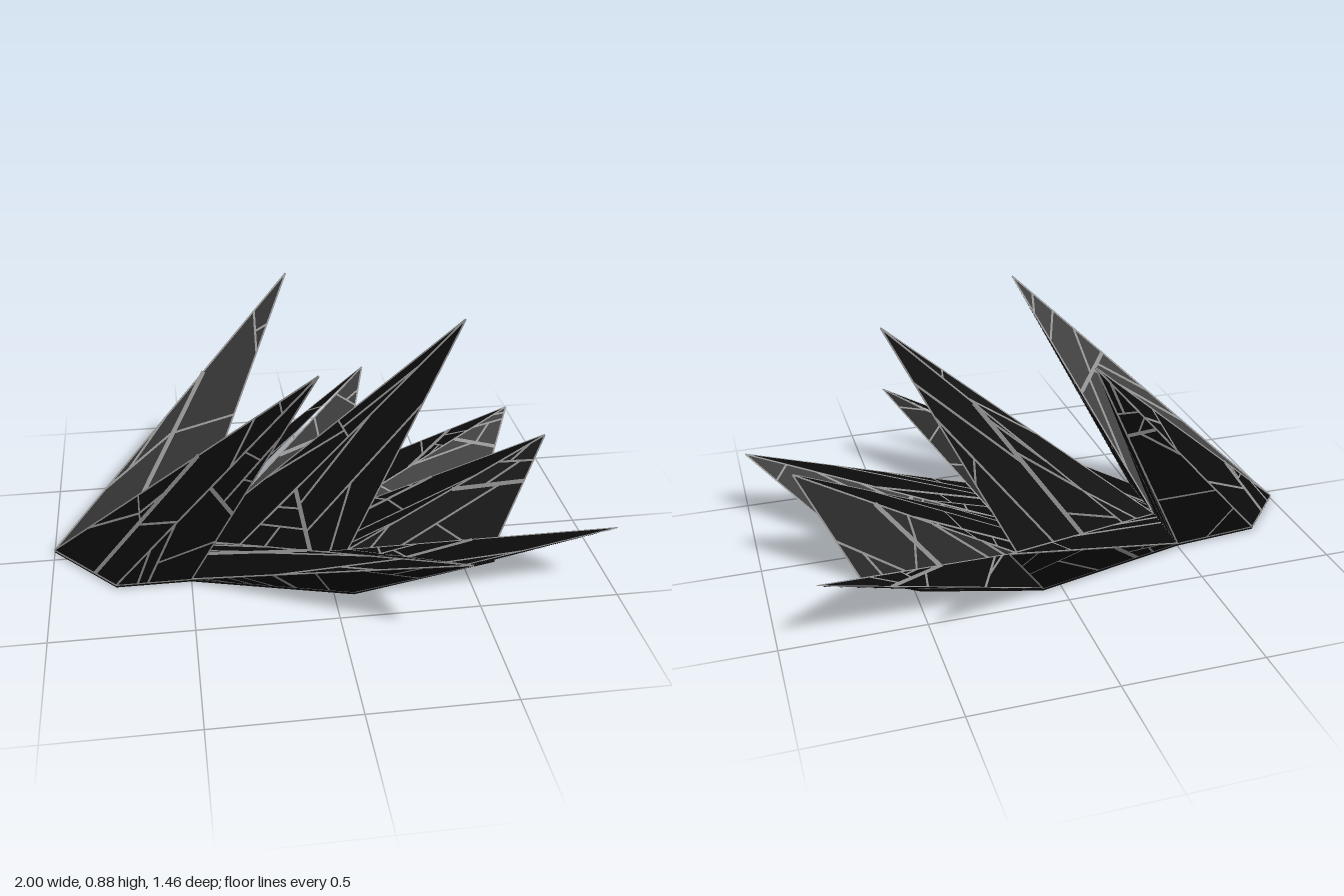
import * as THREE from 'three';

const PLATE = 0.01; // thickness of the ground plate
const black = new THREE.MeshStandardMaterial({ color: 0x0b0b0b, flatShading: true });
const grey = new THREE.MeshStandardMaterial({ color: 0x8c8c8c, flatShading: true });

// Shared ground points [x, z]
const P = {
  nose: [-1, -0.05], noseL: [-0.77, 0.21], noseR: [-0.82, -0.25],
  mid: [-0.5, -0.05], midL: [-0.5, 0.21], midR: [-0.5, -0.28],
  innerL: [-0.37, 0.1], innerR: [-0.38, -0.17],
  rearL: [0.09, 0.1], rearR: [0.09, -0.17],
  sideL: [0.07, 0.37], sideR: [0.07, -0.42],
  tailL: [0.67, 0.1], tailR: [0.67, -0.17],
  flankL: [0.62, 0.24], flankR: [0.48, -0.3],
};

// Each spike: name, tip, ground outline
const SPIKES = [
  ['tallSpikeLeft', [-0.06, 0.88, 0.39], ['nose', 'noseL', 'midL', 'mid']],
  ['tallSpikeRight', [-0.06, 0.88, -0.54], ['nose', 'mid', 'midR', 'noseR']],
  ['tallSpikeCentre', [0.52, 0.88, 0], ['mid', 'innerL', 'rearL', 'rearR', 'innerR']],
  ['sideSpikeLeft', [0.4, 0.33, 0.72], ['mid', 'midL', 'sideL', 'rearL', 'innerL']],
  ['sideSpikeRight', [0.28, 0.37, -0.73], ['mid', 'innerR', 'rearR', 'sideR', 'midR']],
  ['lowSpikeCentre', [0.86, 0.38, -0.02], ['rearL', 'tailL', 'tailR', 'rearR']],
  ['lowSpikeLeft', [0.99, 0.25, 0.45], ['rearL', 'sideL', 'flankL', 'tailL']],
  ['lowSpikeRight', [0.86, 0.24, -0.53], ['rearR', 'tailR', 'flankR', 'sideR']],
];
const OUTLINE = ['nose', 'noseL', 'midL', 'sideL', 'flankL', 'tailL', 'tailR', 'flankR', 'sideR', 'midR', 'noseR'];

let seed = 7;
const rnd = () => (seed = (seed * 16807) % 2147483647) / 2147483647;

const ground = (key, y) => new THREE.Vector3(P[key][0], y, P[key][1]);

function meshFrom(points, material, name) {
  const geometry = new THREE.BufferGeometry().setFromPoints(points);
  geometry.computeVertexNormals();
  const mesh = new THREE.Mesh(geometry, material);
  mesh.name = name;
  return mesh;
}

// Flat strip along p-q, floating just above a face with normal n
function ribbon(out, p, q, n, half) {
  const w = n.clone().cross(q.clone().sub(p)).normalize().multiplyScalar(half);
  const lift = n.clone().multiplyScalar(0.0015);
  const a = p.clone().add(lift).sub(w), b = q.clone().add(lift).sub(w);
  const c = q.clone().add(lift).add(w), d = p.clone().add(lift).add(w);
  out.push(a, b, c, a, c, d);
}

// Split a panel again and again with straight seams
function crack(out, poly, n, depth) {
  if (depth === 0) return;
  const count = poly.length;
  const lengths = poly.map((p, k) => p.distanceTo(poly[(k + 1) % count]));
  const i = lengths.indexOf(Math.max(...lengths));
  const j = (i + 1 + Math.floor(rnd() * (count - 1))) % count;
  const [lo, hi] = i < j ? [i, j] : [j, i];
  const on = (k) => poly[k].clone().lerp(poly[(k + 1) % count], 0.3 + 0.4 * rnd());
  const a = on(lo), b = on(hi);
  ribbon(out, a, b, n, depth === 3 ? 0.008 : 0.004);
  crack(out, [a, ...poly.slice(lo + 1, hi + 1), b], n, depth - 1);
  crack(out, [b, ...poly.slice(hi + 1), ...poly.slice(0, lo + 1), a], n, depth - 1);
}

// Leaning faceted pyramid with seams on its edges and faces
function makeSpike(name, tip, keys) {
  const top = new THREE.Vector3(...tip);
  const base = keys.map((k) => ground(k, PLATE));
  const centre = base.reduce((s, p) => s.add(p), new THREE.Vector3()).divideScalar(base.length).lerp(top, 0.2);
  const faces = [], seams = [];
  base.forEach((p, k) => {
    let tri = [p, base[(k + 1) % base.length], top];
    const n = new THREE.Vector3();
    const facing = () => new THREE.Triangle(...tri).getNormal(n).dot(centre.clone().sub(p));
    if (facing() > 0) {
      tri = [tri[1], tri[0], top];
      facing();
    }
    faces.push(...tri);
    tri.forEach((a, m) => ribbon(seams, a, tri[(m + 1) % 3], n, 0.003));
    const shortSide = tri[0].distanceTo(tri[1]);
    crack(seams, tri, n, shortSide > 0.24 ? 3 : 2);
  });
  const group = new THREE.Group();
  group.name = name;
  group.add(meshFrom(faces, black, 'panels'), meshFrom(seams, grey, 'seams'));
  return group;
}

export function createModel() {
  const model = new THREE.Group();
  model.name = 'spikeCluster';

  // Ground plate
  const shape = new THREE.Shape(OUTLINE.map((k) => new THREE.Vector2(...P[k])));
  const plateGeometry = new THREE.ExtrudeGeometry(shape, { depth: PLATE, bevelEnabled: false });
  plateGeometry.rotateX(Math.PI / 2).translate(0, PLATE, 0);
  const plate = new THREE.Mesh(plateGeometry, black);
  plate.name = 'groundPlate';
  model.add(plate);

  // Spikes, and the seams that divide the underside below them
  const underSeams = [];
  const down = new THREE.Vector3(0, -1, 0);
  for (const [name, tip, keys] of SPIKES) {
    model.add(makeSpike(name, tip, keys));
    keys.forEach((k, i) => {
      const next = keys[(i + 1) % keys.length];
      ribbon(underSeams, ground(k, 0.0015), ground(next, 0.0015), down, 0.006);
    });
  }
  const under = meshFrom(underSeams, grey, 'undersideSeams');
  under.position.y = -0.001;
  model.add(under);
  return model;
}
